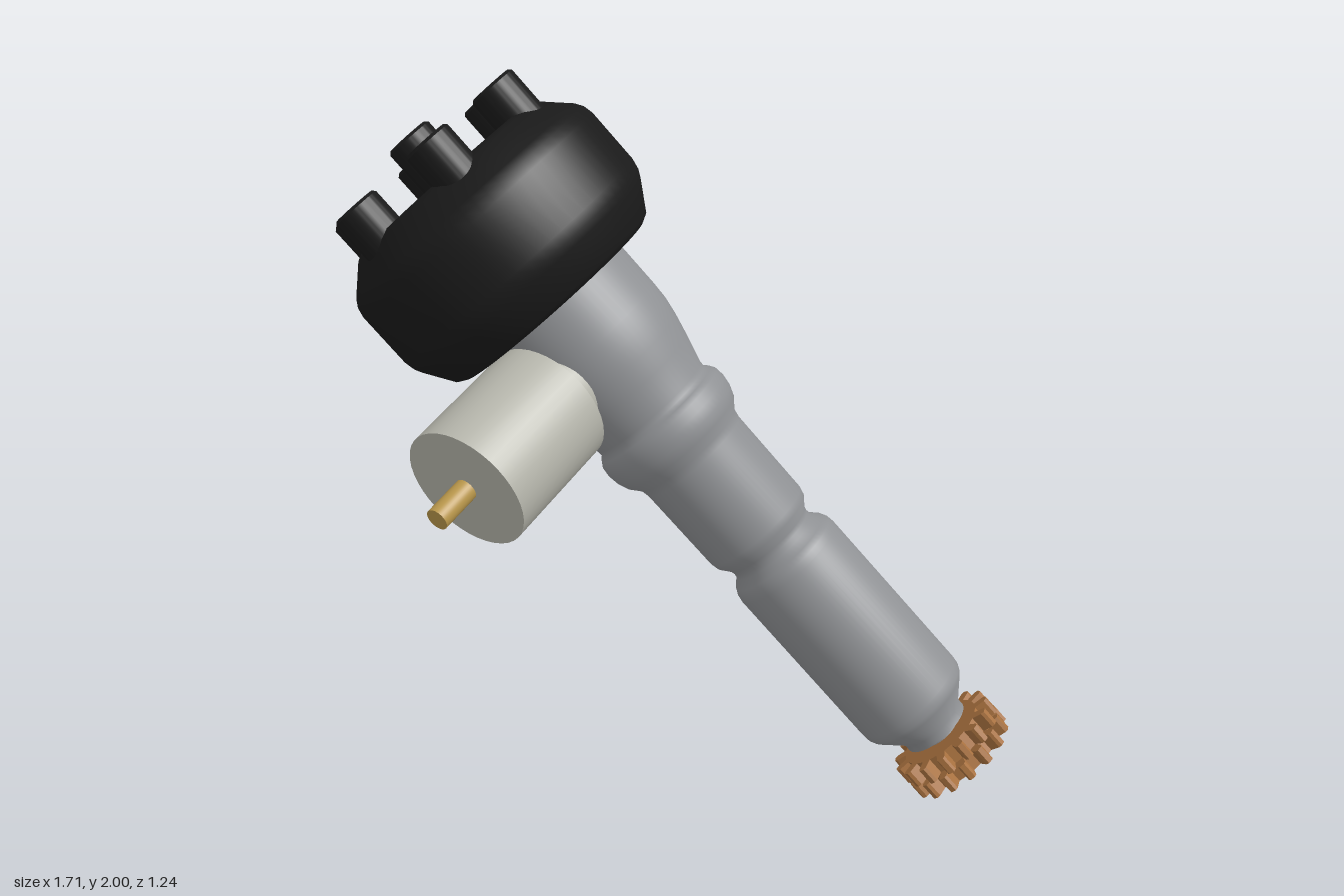
import * as THREE from 'three';
import { toCreasedNormals } from 'three/addons/utils/BufferGeometryUtils.js';

const mat = (color) => new THREE.MeshStandardMaterial({ color });
const GREY = mat(0x8f9194), BLACK = mat(0x1a1a1a), PALE = mat(0xb6b6ac), BRASS = mat(0xb8964a), BRONZE = mat(0xa8713f);

function part(name, geometry, material, parent) {
  const mesh = new THREE.Mesh(geometry, material);
  mesh.name = name;
  parent.add(mesh);
  return mesh;
}

// Turned part from [radius, height] pairs listed bottom to top
function turned(points, crease = 0.45) {
  const lathe = new THREE.LatheGeometry(points.map(([r, y]) => new THREE.Vector2(r, y)), 64);
  return toCreasedNormals(lathe, crease);
}

// Cylinder along local x from x0 to x1
function rodX(r, x0, x1) {
  return new THREE.CylinderGeometry(r, r, x1 - x0, 40).rotateZ(-Math.PI / 2).translate((x0 + x1) / 2, 0, 0);
}

// One row of gear teeth with rounded tips, extruded upward
function gearRow(teeth, root, tip, bore, thickness) {
  const shape = new THREE.Shape();
  const step = (Math.PI * 2) / teeth;
  const shoulder = tip - 0.008;
  for (let i = 0; i < teeth; i++) {
    [[-0.26, root], [-0.2, shoulder], [-0.11, tip], [0.11, tip], [0.2, shoulder], [0.26, root]].forEach(([f, r], k) => {
      const a = (i + f) * step;
      const x = r * Math.cos(a), y = r * Math.sin(a);
      if (i + k === 0) shape.moveTo(x, y); else shape.lineTo(x, y);
    });
  }
  shape.closePath();
  shape.holes.push(new THREE.Path().absarc(0, 0, bore, 0, Math.PI * 2, true));
  return new THREE.ExtrudeGeometry(shape, { depth: thickness, bevelEnabled: false, curveSegments: 32 })
    .rotateX(-Math.PI / 2);
}

export function createModel() {
  const model = new THREE.Group();
  model.name = 'ignitionDistributor';

  // Leaning assembly: local y runs up the shaft, local x out along the vacuum canister
  const body = new THREE.Group();
  body.name = 'distributorBody';
  const up = new THREE.Vector3(-0.587, 0.735, -0.342).normalize();
  const side = new THREE.Vector3(-0.75, -0.28, 0.6).projectOnPlane(up).normalize();
  body.quaternion.setFromRotationMatrix(new THREE.Matrix4().makeBasis(side, up, side.clone().cross(up)));
  body.position.set(0.73, 0.11, 0.47);
  model.add(body);

  // Stepped housing with groove, collar and flared bowl
  part('housing', turned([
    [0, 0.12], [0.1, 0.12], [0.1, 0.145], [0.16, 0.212], [0.167, 0.227], [0.169, 0.25], [0.169, 0.77],
    [0.166, 0.79], [0.157, 0.808], [0.136, 0.83], [0.133, 0.845], [0.137, 0.86],
    [0.158, 0.888], [0.163, 0.91], [0.165, 1.17], [0.17, 1.195],
    [0.194, 1.225], [0.205, 1.255], [0.209, 1.285], [0.206, 1.312], [0.196, 1.328],
    [0.185, 1.34], [0.186, 1.355], [0.208, 1.44], [0.222, 1.5], [0.23, 1.55], [0.232, 1.6], [0.232, 1.85], [0, 1.85],
  ], 1), GREY, body);

  // Hollow-ended shaft showing through the gear
  part('driveShaft', turned([[0, 0.035], [0.03, 0.026], [0.05, 0.01], [0.06, 0.002], [0.06, 0.15]], 0.9), GREY, body);

  // Drive gear: two offset rows of teeth
  const gear = new THREE.Group();
  gear.name = 'driveGear';
  body.add(gear);
  const teeth = 15;
  for (let row = 0; row < 2; row++) {
    const g = part('gearRow', gearRow(teeth, 0.125, 0.164, 0.06, 0.05), BRONZE, gear);
    g.position.y = row * 0.05;
    g.rotation.y = row * Math.PI / teeth;
  }

  // Cap with straight bevels and a central well
  part('cap', turned([
    [0, 1.742], [0.318, 1.742], [0.342, 1.755], [0.392, 1.835], [0.402, 1.855], [0.408, 1.885],
    [0.408, 2.045], [0.402, 2.073], [0.388, 2.095], [0.318, 2.163], [0.295, 2.175], [0.2, 2.178],
    [0.178, 2.165], [0.168, 2.135], [0.168, 2.03], [0, 2.03],
  ], 0.7), BLACK, body);

  // Ring of six terminal towers and one in the middle
  const tower = (r, y0, y1) => turned([[r, y0], [r, y1 - 0.008], [r - 0.008, y1], [0, y1]]);
  for (let i = 0; i < 6; i++) {
    const a = (i * Math.PI) / 3;
    part('terminalTower', tower(0.068, 2.06, 2.272), BLACK, body)
      .position.set(0.272 * Math.cos(a), 0, 0.272 * Math.sin(a));
  }
  part('centreTower', tower(0.068, 2.02, 2.32), BLACK, body);

  // Vacuum canister on the bowl
  const vacuum = new THREE.Group();
  vacuum.name = 'vacuumAdvance';
  vacuum.position.y = 1.56;
  body.add(vacuum);
  part('canisterNeck', rodX(0.13, 0.1, 0.26), PALE, vacuum);
  part('canister', rodX(0.179, 0.24, 0.595), PALE, vacuum);
  part('vacuumNipple', rodX(0.031, 0.58, 0.715), BRASS, vacuum);

  return model;
}
